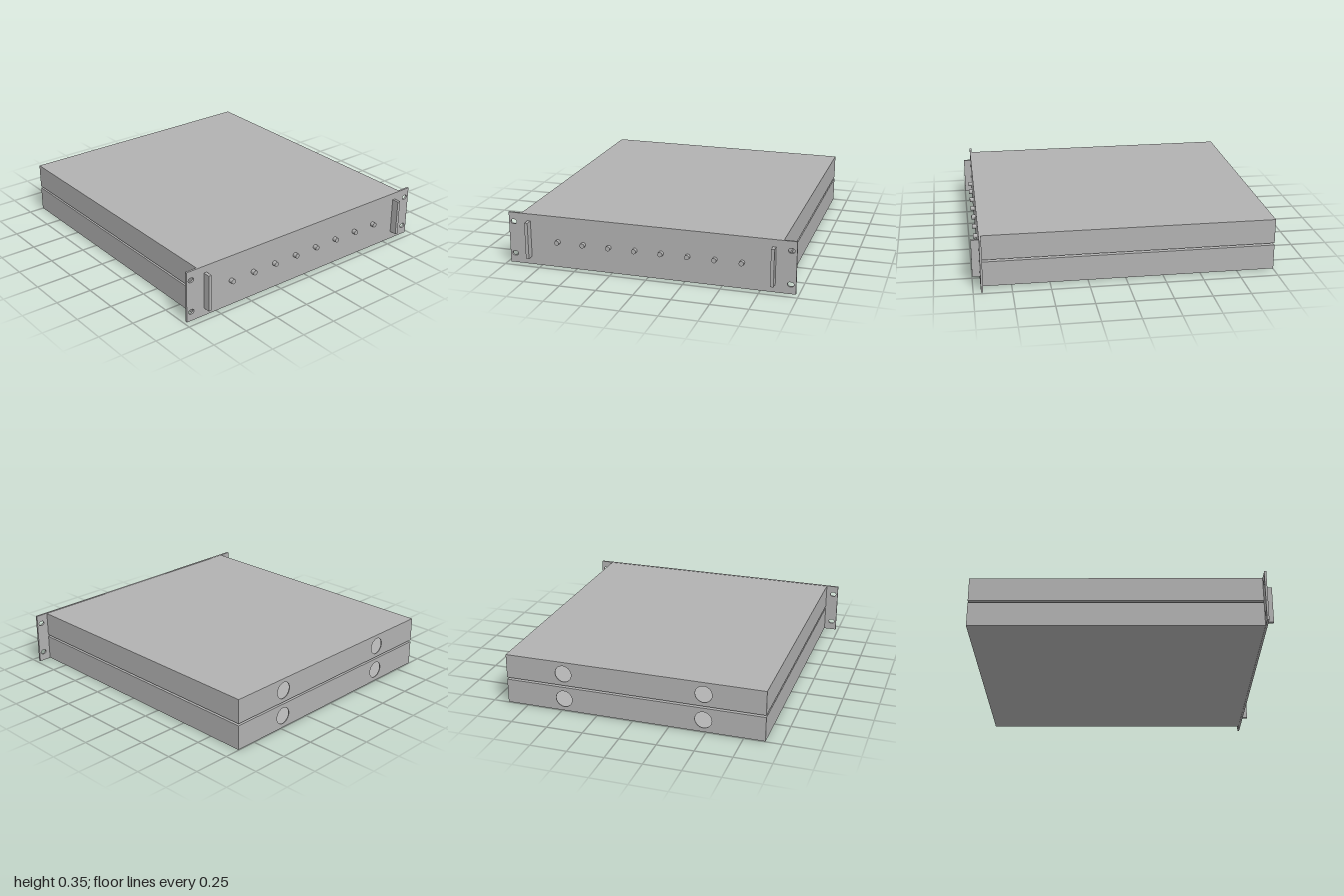
import * as THREE from 'three';

const grey = new THREE.MeshStandardMaterial({ color: 0xb2b2b2 });
grey.name = 'plain grey';

function add(parent, name, geometry, x = 0, y = 0, z = 0) {
  const mesh = new THREE.Mesh(geometry, grey);
  mesh.name = name;
  mesh.position.set(x, y, z);
  parent.add(mesh);
  return mesh;
}

// Rectangle centred on the origin, as a shape or a hole
function rect(w, h, Type = THREE.Shape) {
  const p = new Type();
  p.moveTo(-w / 2, -h / 2);
  p.lineTo(w / 2, -h / 2);
  p.lineTo(w / 2, h / 2);
  p.lineTo(-w / 2, h / 2);
  p.closePath();
  return p;
}

// Horizontal slot with round ends
function slot(x, y, w, h) {
  const p = new THREE.Path();
  const r = h / 2, d = w / 2 - r;
  p.absarc(x + d, y, r, -Math.PI / 2, Math.PI / 2, false);
  p.absarc(x - d, y, r, Math.PI / 2, Math.PI * 1.5, false);
  p.closePath();
  return p;
}

const extrude = (shape, depth) =>
  new THREE.ExtrudeGeometry(shape, { depth, bevelEnabled: false, curveSegments: 16 });

export function createModel() {
  const model = new THREE.Group();
  model.name = 'rackUnit';

  const caseW = 1.786, wall = 0.006, back = -1, panelBack = 0.936, panelFront = 0.95;

  // Two hollow cases, one above the other with a narrow gap between
  [['lowerCase', 0.003, 0.172], ['upperCase', 0.186, 0.353]].forEach(([name, y0, y1]) => {
    const h = y1 - y0;
    const box = new THREE.Group();
    box.name = name;
    box.position.y = (y0 + y1) / 2;

    // Top, bottom and side walls
    const sleeve = rect(caseW, h);
    sleeve.holes.push(rect(caseW - 2 * wall, h - 2 * wall, THREE.Path));
    add(box, 'caseWalls', extrude(sleeve, panelBack - back - wall), 0, 0, back + wall);

    // Rear wall with two round openings
    const rear = rect(caseW, h);
    for (const x of [-0.482, 0.482]) {
      const hole = new THREE.Path();
      hole.absarc(x, 0, 0.057, 0, Math.PI * 2, true);
      rear.holes.push(hole);
    }
    add(box, 'rearWall', extrude(rear, wall), 0, 0, back);
    model.add(box);
  });

  // Front panel with four mounting slots
  const panelH = 0.355;
  const panel = rect(1.96, panelH);
  for (const x of [-0.945, 0.945])
    for (const y of [-0.113, 0.113]) panel.holes.push(slot(x, y, 0.042, 0.032));
  add(model, 'frontPanel', extrude(panel, panelFront - panelBack), 0, panelH / 2, panelBack);

  // Upright handles
  for (const x of [-0.835, 0.835])
    add(model, 'handle', new THREE.BoxGeometry(0.022, 0.253, 0.05), x, 0.18, panelFront + 0.025);

  // Row of knobs
  const knob = new THREE.CylinderGeometry(0.0165, 0.0165, 0.027, 24).rotateX(Math.PI / 2);
  for (let i = 0; i < 8; i++)
    add(model, 'knob', knob, (i - 3.5) * 0.18, 0.178, panelFront + 0.0135);

  return model;
}
